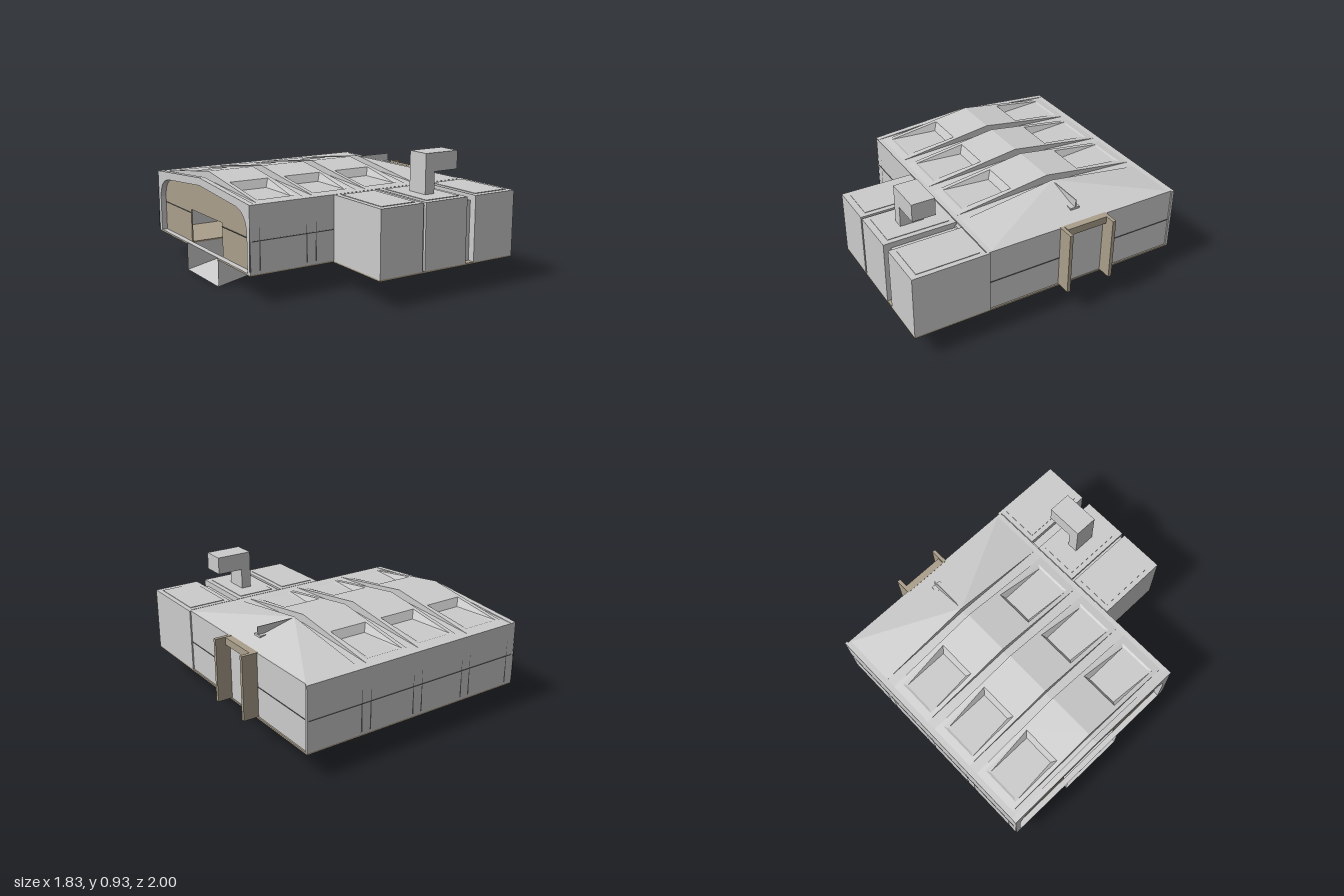
import * as THREE from 'three';

const mat = (name, color, side = THREE.FrontSide) => {
  const m = new THREE.MeshStandardMaterial({ color, side });
  m.name = name;
  return m;
};

export function createModel() {
  const grey = mat('concrete grey', 0xcccccc, THREE.DoubleSide);
  const brown = mat('dusty brown', 0xab9f8b, THREE.DoubleSide);
  const dark = mat('seam grey', 0x5c5c5c, THREE.DoubleSide);
  const root = new THREE.Group();
  root.name = 'bunker';

  const add = (name, geo, m, parent = root) => {
    const mesh = new THREE.Mesh(geo, m);
    mesh.name = name;
    parent.add(mesh);
    return mesh;
  };
  // box given by its limits
  const box = (name, m, x0, x1, y0, y1, z0, z1, parent) => {
    const g = new THREE.BoxGeometry(x1 - x0, y1 - y0, z1 - z0);
    g.translate((x0 + x1) / 2, (y0 + y1) / 2, (z0 + z1) / 2);
    return add(name, g, m, parent);
  };
  // flat-shaded faces of three or four corners
  const faces = (name, list, m, parent) => {
    const pos = [];
    for (const f of list) {
      for (let i = 1; i < f.length - 1; i++) pos.push(...f[0], ...f[i], ...f[i + 1]);
    }
    const g = new THREE.BufferGeometry();
    g.setAttribute('position', new THREE.Float32BufferAttribute(pos, 3));
    g.computeVertexNormals();
    return add(name, g, m, parent);
  };
  const polygon = (pts) => new THREE.Shape(pts.map(([a, b]) => new THREE.Vector2(a, b)));

  // ---- floor slab, cut out where the ramp descends
  const floor = new THREE.ExtrudeGeometry(polygon([
    [-0.91, -1], [0.81, -1], [0.81, 1], [-0.29, 1], [-0.29, 0.47], [-0.91, 0.47],
    [-0.91, 0], [0.05, 0], [0.05, -0.5], [-0.91, -0.5],
  ]), { depth: 0.012, bevelEnabled: false });
  floor.rotateX(Math.PI / 2).translate(0, 0.202, 0);
  add('floor', floor, brown);

  // ---- main walls
  const E = 0.65, MID = -0.26;
  box('backWall', grey, -0.9, 0.8, 0.2, E, -1, -0.98);
  box('frontWall', grey, -0.9, 0.8, 0.2, E, 0.45, 0.47);
  box('doorWall', grey, 0.78, 0.8, 0.2, E, -1, 0.47);
  for (const z of [-0.995, 0.465]) box('cornerPost', grey, 0.79, 0.81, 0.2, E, z - 0.005, z + 0.015);

  // ---- roof
  const roof = new THREE.Group();
  roof.name = 'roof';
  root.add(roof);
  const HALF = 0.7;
  const top = (d, rise) => E + rise * Math.max(0, 1 - d / HALF);

  // pitched strip with triangular ends
  const strip = (name, x0, x1, rise) => {
    const f = [];
    for (const s of [-1, 1]) {
      const r = E + rise, z = MID + s * HALF, edge = MID + s * 0.735;
      f.push([[x0, r, MID], [x0, E, z], [x1, E, z], [x1, r, MID]]);
      f.push([[x0, E, z], [x1, E, z], [x1, E, edge], [x0, E, edge]]);
    }
    return faces(name, f, grey, roof);
  };

  const bay = (x0, x1) => {
    const f = [], a = x0 + 0.03, b = x1 - 0.03, i = 0.028;
    for (const s of [-1, 1]) {
      const P = (x, d) => [x, top(d, 0.1), MID + s * d];
      const Q = (x, d) => [x, E + 0.003, MID + s * d];
      const d0 = 0.27, d1 = 0.645;
      // sloping frame around the recess
      f.push([P(x0, 0), P(x1, 0), P(x1, d0), P(x0, d0)], [P(x0, d1), P(x1, d1), P(x1, HALF), P(x0, HALF)]);
      f.push([P(x0, d0), P(a, d0), P(a, d1), P(x0, d1)], [P(b, d0), P(x1, d0), P(x1, d1), P(b, d1)]);
      // recess walls and flat bottom
      const rim = [P(a, d0), P(b, d0), P(b, d1), P(a, d1)];
      const base = [Q(a + i, d0 + i), Q(b - i, d0 + i), Q(b - i, d1 - 0.015), Q(a + i, d1 - 0.015)];
      for (let k = 0; k < 4; k++) f.push([rim[k], rim[(k + 1) % 4], base[(k + 1) % 4], base[k]]);
      f.push(base);
      // side gables and eave
      for (const x of [x0, x1]) f.push([P(x, 0), [x, E, MID], P(x, HALF)]);
      f.push([P(x0, HALF), P(x1, HALF), [x1, E, MID + s * 0.735], [x0, E, MID + s * 0.735]]);
    }
    faces('roofBay', f, grey, roof);
  };
  for (const x of [-0.84, -0.425, -0.01]) bay(x, x + 0.345);
  for (const x of [-0.91, -0.495, -0.08, 0.335]) strip('roofGroove', x, x + 0.07, 0.04);

  // end slope falling towards the side door
  const slope = [];
  for (const s of [-1, 1]) {
    const z = MID + s * HALF, e = MID + s * 0.735;
    slope.push([[0.405, E + 0.1, MID], [0.405, E, z], [0.79, E, z], [0.79, E, MID]]);
    slope.push([[0.405, E, z], [0.79, E, z], [0.79, E, e], [0.405, E, e]]);
    slope.push([[0.405, E + 0.1, MID], [0.405, E, MID], [0.405, E, z]]);
  }
  faces('endSlope', slope, grey, roof);
  box('ventFin', grey, 0.41, 0.69, 0.66, 0.745, -0.263, -0.257, roof);
  box('ventCap', grey, 0.64, 0.69, 0.66, 0.69, -0.29, -0.22, roof);

  // ---- open end: arched frame, recessed brown wall with entrance
  const frame = polygon([[-1, 0.2], [0.47, 0.2], [0.47, E], [MID, 0.71], [-1, E]]);
  const hole = new THREE.Path();
  hole.moveTo(-0.96, 0.203);
  hole.lineTo(0.43, 0.203);
  hole.lineTo(0.43, 0.46);
  hole.quadraticCurveTo(0.42, 0.59, 0.28, 0.61);
  hole.lineTo(MID, 0.655);
  hole.lineTo(-0.8, 0.61);
  hole.quadraticCurveTo(-0.95, 0.59, -0.96, 0.46);
  frame.holes.push(hole);
  const toEnd = (g, x) => g.rotateY(-Math.PI / 2).translate(x, 0, 0);
  // entrance passes through the sill
  for (const [name, shape, depth, x, m] of [
    ['archFrame', frame, 0.04, -0.87, grey],
    ['entranceWall', polygon([[-0.98, 0.2], [-0.5, 0.2], [-0.5, 0.44], [0, 0.44], [0, 0.2], [0.45, 0.2],
      [0.45, 0.64], [MID, 0.68], [-0.98, 0.64]]), 0.01, -0.86, brown],
  ]) add(name, toEnd(new THREE.ExtrudeGeometry(shape, { depth, bevelEnabled: false, curveSegments: 8 }), x), m);
  box('entranceSeam', dark, -0.874, -0.868, 0.411, 0.417, -0.96, -0.5);
  box('entranceSeam', dark, -0.874, -0.868, 0.411, 0.417, 0, 0.43);

  // ---- ramp
  const ramp = new THREE.Group();
  ramp.name = 'ramp';
  root.add(ramp);
  const R = (z) => [[-0.91, 0, z], [0.05, 0.195, z], [-0.91, 0.195, z]];
  const [l, r] = [R(-0.5), R(0)];
  faces('rampDeck', [[l[0], l[1], r[1], r[0]]], grey, ramp);
  faces('rampSides', [l, r], grey, ramp);
  faces('rampSeam', [[[-0.91, -0.0, -0.255], [0.05, 0.192, -0.255], [0.05, 0.192, -0.245], [-0.91, -0.0, -0.245]]],
    dark, ramp);

  // ---- side door with projecting jambs
  const door = new THREE.Group();
  door.name = 'sideDoor';
  root.add(door);
  box('doorLeaf', grey, 0.8, 0.806, 0.2, 0.6, -0.41, -0.1, door);
  box('lintel', brown, 0.79, 0.84, 0.6, E + 0.002, -0.41, -0.1, door);
  for (const z of [-0.43, -0.095]) box('jamb', brown, 0.79, 0.91, 0.2, E + 0.002, z, z + 0.025, door);

  // ---- annex of three blocks
  const annex = new THREE.Group();
  annex.name = 'annex';
  root.add(annex);
  for (const [x0, x1] of [[-0.29, 0.04], [0.06, 0.4], [0.47, 0.81]]) {
    box('annexBlock', grey, x0, x1, 0.2, E, 0.48, 1, annex);
    box('roofPanel', grey, x0 + 0.035, x1 - 0.035, E, E + 0.004, 0.515, 0.955, annex);
  }
  box('jointFill', grey, 0.04, 0.06, 0.2, 0.63, 0.48, 0.98, annex);
  box('recessFill', grey, 0.4, 0.47, 0.2, 0.61, 0.48, 0.95, annex);
  box('annexSeam', dark, 0.047, 0.053, 0.28, 0.62, 0.975, 0.983, annex);
  box('annexLink', grey, -0.27, 0.79, 0.2, 0.63, 0.46, 0.49, annex);

  // ---- chimney
  const pipe = new THREE.ExtrudeGeometry(polygon([
    [0.195, E], [0.27, E], [0.27, 0.8], [0.46, 0.8], [0.46, 0.925], [0.195, 0.925],
  ]), { depth: 0.165, bevelEnabled: false });
  add('chimney', pipe.translate(0, 0, 0.655), grey);

  // ---- seams and slender ribs on the walls
  box('frontSeam', dark, -0.89, -0.29, 0.411, 0.417, 0.468, 0.473);
  box('backSeam', dark, -0.89, 0.8, 0.411, 0.417, -1.002, -0.998);
  box('sideSeam', dark, 0.799, 0.803, 0.411, 0.417, -0.07, 0.47);
  box('sideSeam', dark, 0.799, 0.803, 0.411, 0.417, -1, -0.43);
  const rib = (x, z) => faces('wallRib', [[[x - 0.006, 0.22, z], [x + 0.006, 0.22, z], [x, 0.54, z]]], dark);
  for (const x of [-0.875, -0.46, -0.045, 0.37]) {
    for (const s of [-0.035, 0.035]) {
      rib(x + s, -1.003);
      if (x < -0.4) rib(x + s, 0.473);
    }
  }
  return root;
}
